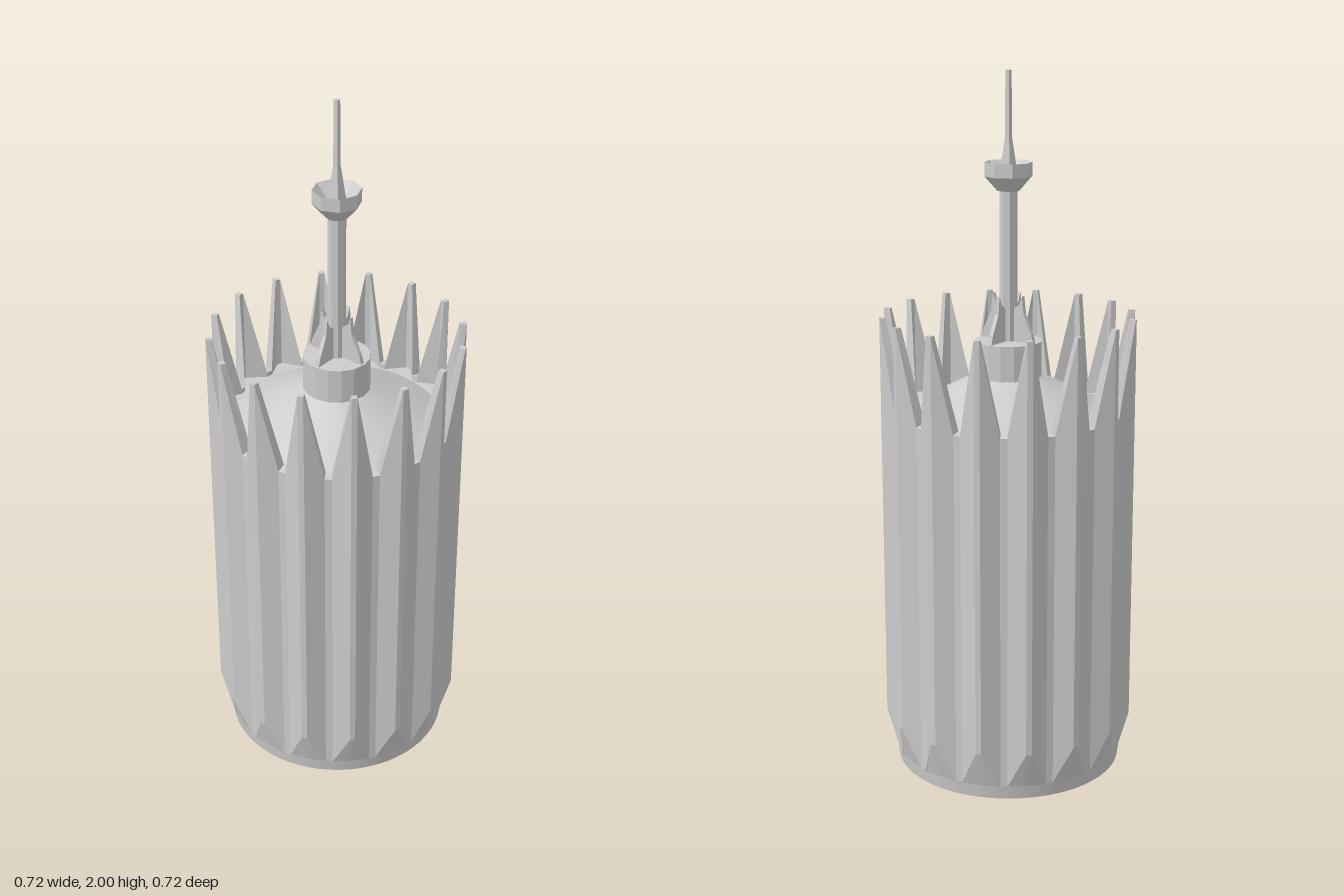
import * as THREE from 'three';

const stone = new THREE.MeshStandardMaterial({ color: 0xcccccc, side: THREE.DoubleSide });
stone.name = 'paleGrey';

const PLEATS = 16;

// Faceted copy of a geometry
function flat(geo) {
  const g = geo.index ? geo.toNonIndexed() : geo;
  g.computeVertexNormals();
  return g;
}

// Skin a stack of closed loops, each an array of Vector3 with equal counts
function skin(loops) {
  const n = loops[0].length;
  const pos = [];
  for (let i = 0; i + 1 < loops.length; i++) {
    for (let j = 0; j < n; j++) {
      const k = (j + 1) % n;
      const a = loops[i][j], b = loops[i][k], c = loops[i + 1][k], d = loops[i + 1][j];
      for (const p of [a, b, c, a, c, d]) pos.push(p.x, p.y, p.z);
    }
  }
  const g = new THREE.BufferGeometry();
  g.setAttribute('position', new THREE.Float32BufferAttribute(pos, 3));
  g.computeVertexNormals();
  return g;
}

// Pleated loop: narrow flat ridges alternating with narrow flat valleys
function pleatLoop(ridgeR, ridgeY, valleyR, valleyY) {
  const pts = [];
  const step = (Math.PI * 2) / PLEATS;
  const add = (a, r, y) => pts.push(new THREE.Vector3(r * Math.sin(a), y, r * Math.cos(a)));
  for (let i = 0; i < PLEATS; i++) {
    const a = i * step;
    add(a - 0.022, ridgeR, ridgeY);
    add(a + 0.022, ridgeR, ridgeY);
    add(a + step / 2 - 0.03, valleyR, valleyY);
    add(a + step / 2 + 0.03, valleyR, valleyY);
  }
  return pts;
}

export function createModel() {
  const tower = new THREE.Group();
  tower.name = 'tower';
  const add = (name, geo, parent = tower) => {
    const m = new THREE.Mesh(geo, stone);
    m.name = name;
    parent.add(m);
    return m;
  };
  const lathe = (pts, seg) =>
    new THREE.LatheGeometry(pts.map(([x, y]) => new THREE.Vector2(x, y)), seg);

  // Smooth foot ring, open below
  add('footRing', lathe([[0.326, 0], [0.331, 0.04]], 64));

  // Pleated wall: chamfered foot, ribs, spiked crown, inside of the crown, gutter
  add('pleatedWall', skin([
    pleatLoop(0.331, 0.04, 0.331, 0.038),
    pleatLoop(0.362, 0.15, 0.333, 0.04),
    pleatLoop(0.362, 1.33, 0.333, 1.06),
    pleatLoop(0.345, 1.33, 0.303, 1.065),
    pleatLoop(0.345, 1.05, 0.303, 1.05),
    pleatLoop(0.29, 1.05, 0.29, 1.05),
  ]));

  // Shallow conical roof
  add('roof', lathe([[0.295, 1.052], [0.09, 1.157]], 32));

  // Drum at the roof centre
  const drum = add('drum', flat(new THREE.CylinderGeometry(0.095, 0.095, 0.105, 16)));
  drum.position.y = 1.2025;

  // Four buttress fins around the mast
  const fin = new THREE.Shape([
    [0.015, 1.25], [0.09, 1.25], [0.082, 1.28], [0.056, 1.335], [0.05, 1.385], [0.04, 1.36], [0.015, 1.345],
  ].map(([x, y]) => new THREE.Vector2(x, y)));
  const finGeo = new THREE.ExtrudeGeometry(fin, { depth: 0.012, bevelEnabled: false });
  finGeo.translate(0, 0, -0.006);
  const fins = new THREE.Group();
  fins.name = 'buttressFins';
  tower.add(fins);
  for (let i = 0; i < 4; i++) add('fin', finGeo, fins).rotation.y = (i * Math.PI) / 2;

  // Eight-sided mast
  const mast = add('mast', flat(new THREE.CylinderGeometry(0.025, 0.025, 0.44, 8)));
  mast.position.y = 1.47;

  // Eight-sided bowl on the mast, hollow on top
  add('bowl', flat(lathe([[0, 1.675], [0.032, 1.675], [0.067, 1.715], [0.067, 1.753], [0.02, 1.7], [0, 1.7]], 8)));

  // Square antenna with a tapered base
  const square = (name, top, bottom, y0, y1) => {
    const g = new THREE.CylinderGeometry(top * Math.SQRT2, bottom * Math.SQRT2, y1 - y0, 4);
    g.rotateY(Math.PI / 4);
    g.translate(0, (y0 + y1) / 2, 0);
    add(name, flat(g));
  };
  square('antennaBase', 0.007, 0.02, 1.7, 1.82);
  square('antenna', 0.006, 0.007, 1.82, 2);

  return tower;
}
